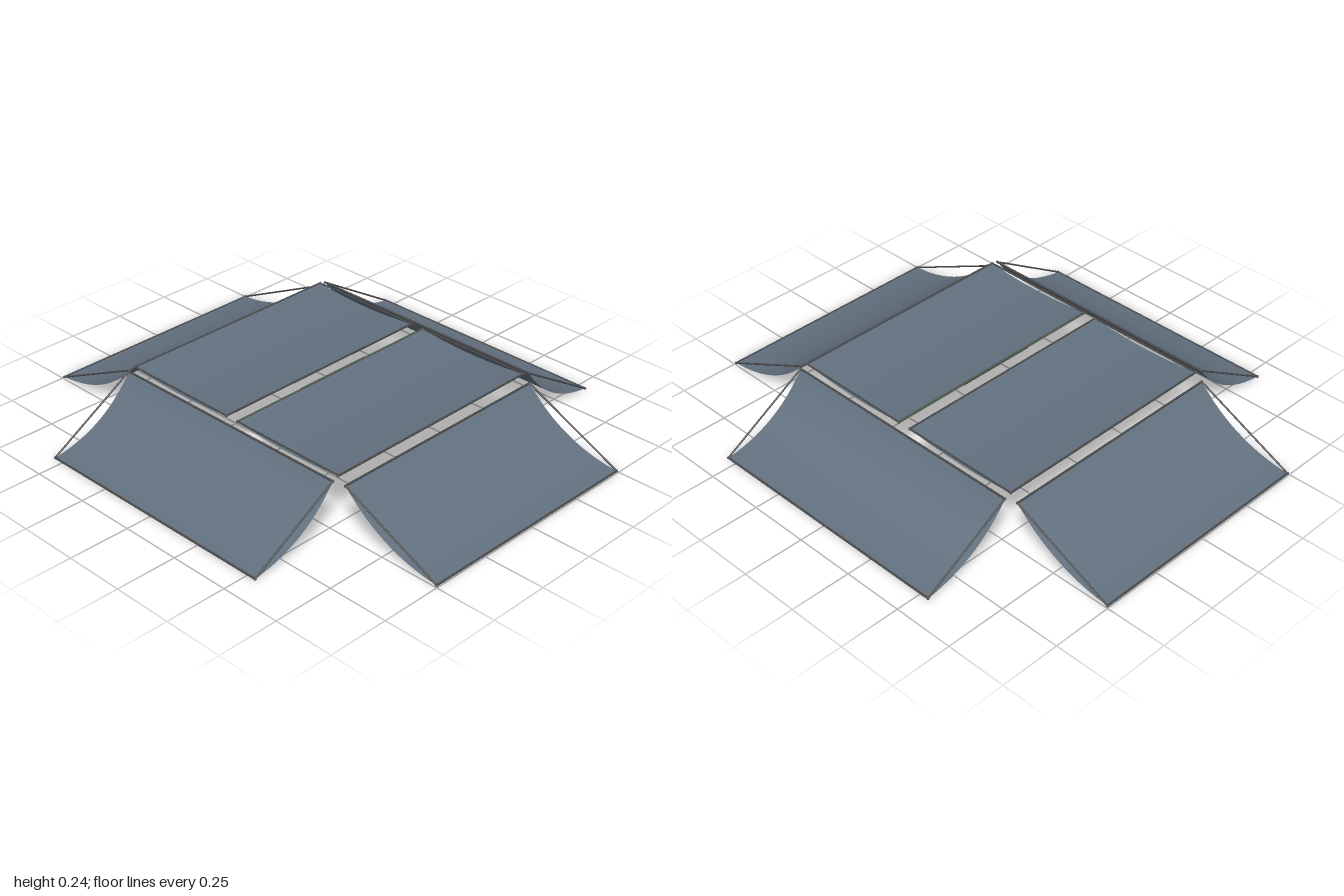
import * as THREE from 'three';

const cloth = new THREE.MeshStandardMaterial({ name: 'slate cloth', color: 0x62707e, side: THREE.DoubleSide });
const metal = new THREE.MeshStandardMaterial({ name: 'dark metal', color: 0x4a4a4a });
const green = new THREE.MeshStandardMaterial({ name: 'dull green', color: 0x4a5a48 });

// straight rod between two points
function rod(name, a, b, material = metal, radius = 0.004) {
  const dir = b.clone().sub(a);
  const mesh = new THREE.Mesh(new THREE.CylinderGeometry(radius, radius, dir.length(), 8), material);
  mesh.name = name;
  mesh.position.copy(a).add(b).multiplyScalar(0.5);
  mesh.quaternion.setFromUnitVectors(new THREE.Vector3(0, 1, 0), dir.normalize());
  return mesh;
}

// framed cloth panel: inner and outer edges are [z, y], sag is its depth at mid span
function panel(name, width, inner, outer, sag, turn, innerMaterial = metal) {
  const group = new THREE.Group();
  group.name = name;
  const dz = outer[0] - inner[0], dy = outer[1] - inner[1];
  const length = Math.hypot(dz, dy);

  // hanging cloth, bent into a parabola below the frame
  const geometry = new THREE.PlaneGeometry(width, 1, 1, 24);
  const p = geometry.attributes.position;
  for (let i = 0; i < p.count; i++) {
    const t = 0.5 - p.getY(i);
    const drop = 4 * sag * t * (1 - t);
    p.setY(i, inner[1] + dy * t - drop * dz / length);
    p.setZ(i, inner[0] + dz * t + drop * dy / length);
  }
  geometry.computeVertexNormals();
  const sheet = new THREE.Mesh(geometry, cloth);
  sheet.name = name + 'Cloth';
  group.add(sheet);

  // four frame rods with corner joints
  const corner = (s, e) => new THREE.Vector3(s * width / 2, e[1], e[0]);
  group.add(rod('innerRod', corner(-1, inner), corner(1, inner), innerMaterial));
  group.add(rod('outerRod', corner(-1, outer), corner(1, outer)));
  for (const s of [-1, 1]) {
    group.add(rod('sideRod', corner(s, inner), corner(s, outer), metal, 0.0035));
    for (const e of [inner, outer]) {
      const joint = new THREE.Mesh(new THREE.SphereGeometry(0.0055, 8, 6), metal);
      joint.name = 'cornerJoint';
      joint.position.copy(corner(s, e));
      group.add(joint);
    }
  }
  group.rotation.y = turn;
  return group;
}

export function createModel() {
  const model = new THREE.Group();
  model.name = 'canopy';
  // sloping panels on all four sides
  model.add(panel('frontPanel', 0.99, [0.57, 0.205], [0.995, 0.0055], 0.046, 0));
  model.add(panel('backPanel', 0.99, [0.57, 0.205], [0.995, 0.0055], 0.046, Math.PI));
  model.add(panel('leftPanel', 1.08, [0.525, 0.224], [0.895, 0.0055], 0.048, Math.PI / 2));
  model.add(panel('rightPanel', 1.08, [0.525, 0.224], [0.895, 0.0055], 0.048, -Math.PI / 2));
  // two nearly flat roof panels
  model.add(panel('frontRoofPanel', 0.99, [0.029, 0.232], [0.538, 0.232], 0.016, 0, green));
  model.add(panel('backRoofPanel', 0.99, [0.029, 0.232], [0.538, 0.232], 0.016, Math.PI));
  // short bar at the middle of the ridge gap
  model.add(rod('ridgeBar', new THREE.Vector3(-0.17, 0.231, 0.024), new THREE.Vector3(0.17, 0.231, 0.024), metal, 0.003));
  return model;
}
